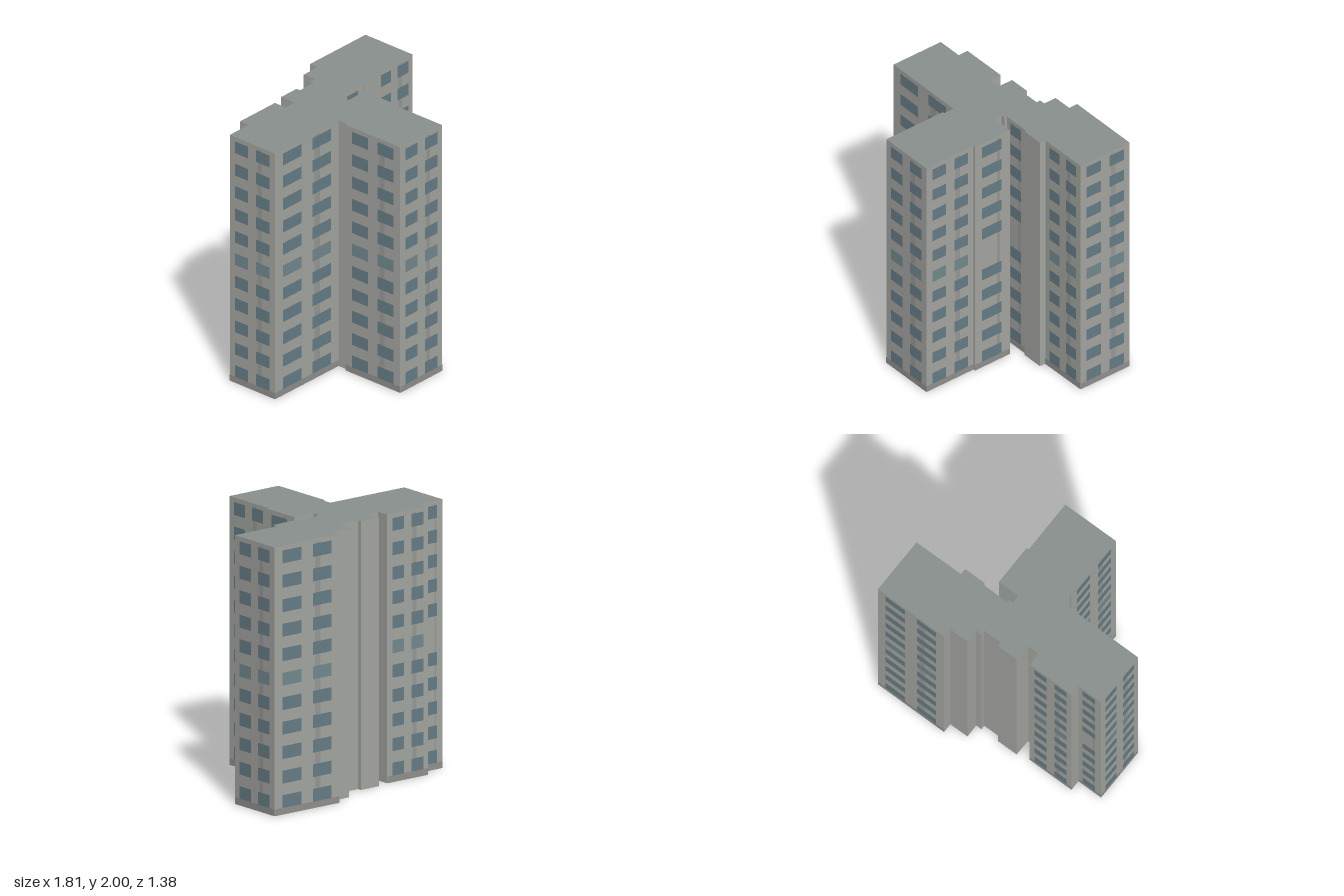
import * as THREE from 'three';
import { mergeGeometries } from 'three/addons/utils/BufferGeometryUtils.js';

const HEIGHT = 2, ROWS = 11;

// Footprint corners [x, z, window columns on the wall that starts here]
const FOOTPRINT = [
  [-0.905, -0.335, 1], [-0.70, -0.343, 0], [-0.705, -0.425, 2], [-0.325, -0.44, 0],
  [-0.32, -0.335, 0], [-0.225, -0.34, 0], [-0.228, -0.47, 0], [-0.06, -0.477, 0],
  [-0.058, -0.443, 0], [0.092, -0.45, 0], [0.09, -0.483, 0], [0.138, -0.485, 0],
  [0.133, -0.59, 0], [0.288, -0.597, 0], [0.284, -0.67, 2], [0.885, -0.692, 2],
  [0.90, -0.24, 2], [0.50, -0.222, 0], [0.50, -0.173, 0], [0.325, -0.167, 0],
  [0.322, -0.182, 1], [0.104, -0.175, 0], [0.104, -0.152, 0], [0.07, -0.15, 0],
  [0.073, -0.087, 0], [0.25, -0.092, 1], [0.262, 0.232, 0], [0.244, 0.232, 2],
  [0.26, 0.667, 2], [-0.197, 0.685, 2], [-0.217, 0.163, 0], [-0.20, 0.162, 0],
  [-0.203, 0.077, 2], [-0.89, 0.10, 2],
];

// Window spans across a wall, as fractions from its left as seen from outside
const COLUMNS = { 1: [[0.2, 0.75]], 2: [[0.12, 0.41], [0.59, 0.88]] };

// Upright rectangle on the wall from a to b, lifted outwards by offset
function panel(a, b, u0, u1, y0, y1, offset) {
  const dx = b[0] - a[0], dz = b[1] - a[1], length = Math.hypot(dx, dz);
  const geometry = new THREE.PlaneGeometry((u1 - u0) * length, y1 - y0);
  const u = (u0 + u1) / 2;
  geometry.rotateY(Math.atan2(dz, -dx));
  geometry.translate(
    b[0] - dx * u + (dz / length) * offset,
    (y0 + y1) / 2,
    b[1] - dz * u - (dx / length) * offset
  );
  return geometry;
}

export function createModel() {
  const group = new THREE.Group();
  const walls = [], windows = [], paleWindows = [], pipes = [], plinths = [];

  FOOTPRINT.forEach((a, i) => {
    const b = FOOTPRINT[(i + 1) % FOOTPRINT.length];
    walls.push(panel(a, b, 0, 1, 0, HEIGHT, 0));
    const columns = COLUMNS[a[2]];
    if (!columns) return;

    pipes.push(panel(a, b, 0.62, 0.71, 0.05, HEIGHT - 0.02, 0.001));
    plinths.push(panel(a, b, 0, 1, 0, 0.05, 0.0015));
    for (let row = 0; row < ROWS; row++) {
      const middle = row === 5;
      if (middle && a[2] === 1) continue; // narrow walls have a blank middle floor
      const y = 0.097 + row * 0.1822;
      for (const [u0, u1] of columns) {
        (middle ? paleWindows : windows).push(panel(a, b, u0, u1, y - 0.048, y + 0.048, 0.0025));
      }
    }
  });

  const add = (name, geometry, color, side = THREE.FrontSide) => {
    const mesh = new THREE.Mesh(geometry, new THREE.MeshStandardMaterial({ color, side }));
    mesh.name = name;
    group.add(mesh);
  };

  // Open-bottomed shell
  add('walls', mergeGeometries(walls), 0xa6a8a3, THREE.DoubleSide);
  const outline = new THREE.Shape(FOOTPRINT.map(([x, z]) => new THREE.Vector2(x, -z)));
  const roof = new THREE.ShapeGeometry(outline).rotateX(-Math.PI / 2).translate(0, HEIGHT, 0);
  add('roof', roof, 0x8a918e, THREE.DoubleSide);

  // Facade details
  add('windows', mergeGeometries(windows), 0x687f88);
  add('middleFloorWindows', mergeGeometries(paleWindows), 0x748b90);
  add('wallStrips', mergeGeometries(pipes), 0x999b98);
  add('plinth', mergeGeometries(plinths), 0x92938f);

  return group;
}
